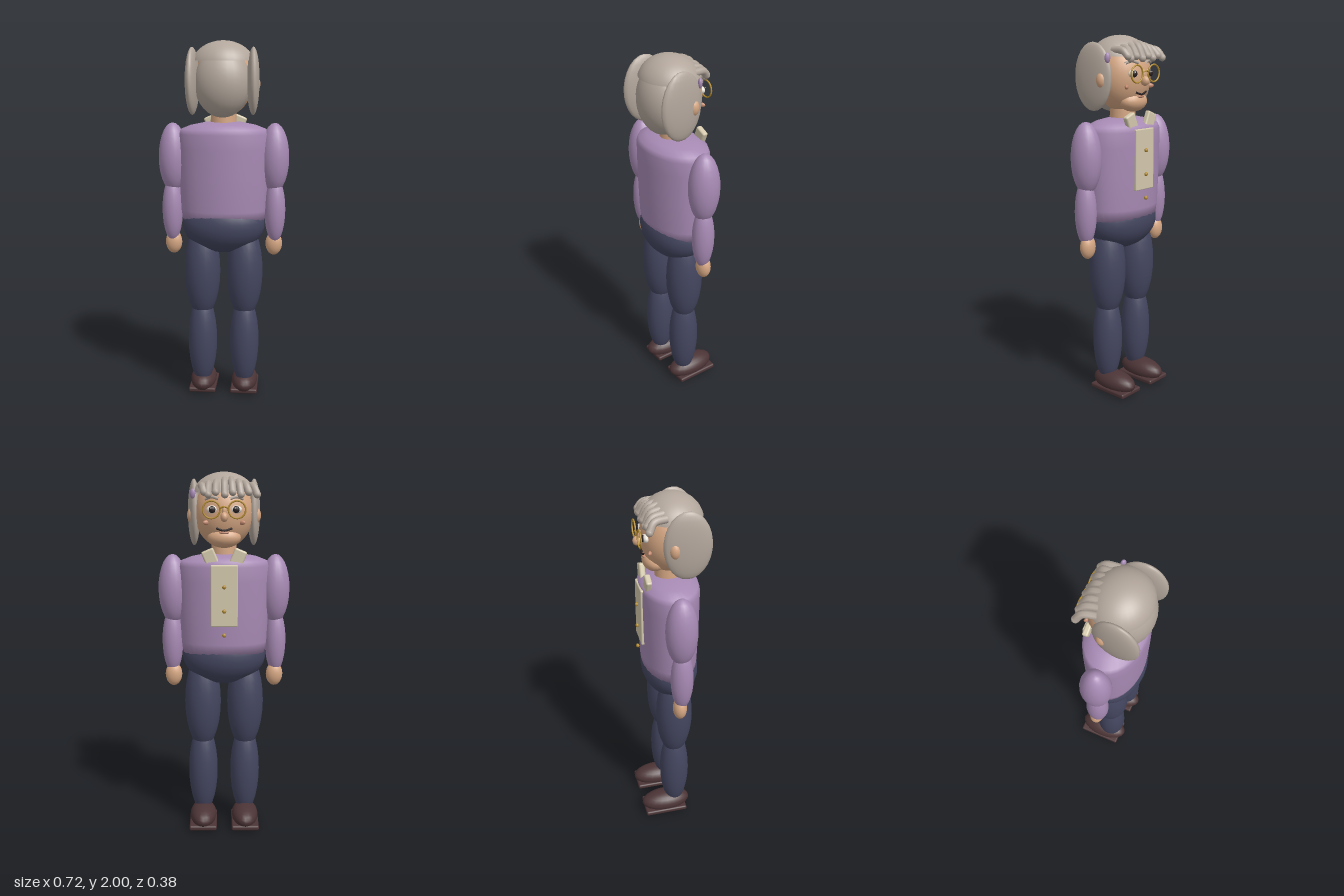
import * as THREE from 'three';
import { RoundedBoxGeometry } from 'three/addons/geometries/RoundedBoxGeometry.js';

const mat = (name, color, side = THREE.FrontSide) => {
  const m = new THREE.MeshStandardMaterial({ color, side });
  m.name = name;
  return m;
};

export function createModel() {
  const model = new THREE.Group();
  model.name = 'elderlyFigure';
  const hair = mat('greyHair', 0xb3a79c, THREE.DoubleSide);
  const knit = mat('mauveKnit', 0xa78ab4);
  const navy = mat('navyTrousers', 0x444660);
  const leather = mat('brownLeather', 0x4c3436);
  const skin = mat('skin', 0xd6a783);
  const cream = mat('creamCloth', 0xd3c8ac);
  const gold = mat('gold', 0xb48c30);
  const dark = mat('darkBrown', 0x2c2222);
  const white = mat('eyeWhite', 0xe8e2d8);
  const blush = mat('blush', 0xc48a70);

  const add = (name, geo, material, x = 0, y = 0, z = 0, parent = model) => {
    const m = new THREE.Mesh(geo, material);
    m.name = name;
    m.position.set(x, y, z);
    parent.add(m);
    return m;
  };
  const ball = (name, material, x, y, z, rx, ry, rz, seg = 20) =>
    add(name, new THREE.SphereGeometry(1, seg, Math.round(seg * 0.7)).scale(rx, ry, rz), material, x, y, z);
  const box = (name, material, x, y, z, w, h, d, r) =>
    add(name, new RoundedBoxGeometry(w, h, d, 2, r), material, x, y, z);
  const tube = (name, material, pts, r) => {
    const curve = new THREE.CatmullRomCurve3(pts.map((p) => new THREE.Vector3(...p)));
    return add(name, new THREE.TubeGeometry(curve, 12, r, 8), material);
  };

  // Limbs, mirrored
  for (const s of [-1, 1]) {
    const side = s > 0 ? 'left' : 'right';
    box(side + 'Sole', leather, s * 0.12, 0.026, -0.053, 0.155, 0.028, 0.25, 0.01);
    ball(side + 'Shoe', leather, s * 0.12, 0.062, -0.045, 0.075, 0.062, 0.145);
    ball(side + 'Shin', navy, s * 0.12, 0.32, 0.008, 0.083, 0.27, 0.084);
    ball(side + 'Thigh', navy, s * 0.12, 0.73, 0.006, 0.102, 0.28, 0.102);
    ball(side + 'UpperArm', knit, s * 0.282, 1.37, 0.003, 0.08, 0.192, 0.085);
    ball(side + 'Forearm', knit, s * 0.287, 1.08, 0.006, 0.058, 0.185, 0.061);
    ball(side + 'Hand', skin, s * 0.283, 0.89, -0.003, 0.047, 0.066, 0.038);
  }

  // Hips and sweater
  ball('hips', navy, 0, 1.0, 0.004, 0.232, 0.163, 0.155, 24);
  const profile = [[0, 1.02], [0.228, 1.02], [0.238, 1.08], [0.246, 1.25], [0.25, 1.42], [0.25, 1.5],
    [0.236, 1.528], [0.18, 1.55], [0.1, 1.566], [0, 1.57]].map((p) => new THREE.Vector2(...p));
  add('sweater', new THREE.LatheGeometry(profile, 32).scale(1, 1, 0.64), knit);

  // Shirt front, collar and buttons
  box('shirtFront', cream, 0, 1.35, -0.153, 0.145, 0.33, 0.02, 0.006);
  for (const s of [-1, 1]) {
    box('collarFlap', cream, s * 0.07, 1.54, -0.125, 0.07, 0.115, 0.032, 0.01).rotation.z = -s * 0.4;
  }
  for (const y of [1.4, 1.27, 1.14]) ball('button', gold, 0, y, -0.17, 0.011, 0.011, 0.009, 12);

  // Neck and head
  add('neck', new THREE.CylinderGeometry(0.068, 0.072, 0.12, 18), skin, 0, 1.6, 0);
  ball('head', skin, 0, 1.785, 0, 0.16, 0.19, 0.145, 28);
  ball('chin', skin, 0, 1.655, -0.075, 0.09, 0.055, 0.062);
  ball('nose', skin, 0, 1.765, -0.157, 0.02, 0.026, 0.026, 14);
  ball('noseBridge', skin, 0, 1.795, -0.146, 0.013, 0.03, 0.015, 12);

  // Face and glasses
  for (const s of [-1, 1]) {
    ball('ear', skin, s * 0.17, 1.77, -0.005, 0.03, 0.045, 0.03, 14);
    ball('eye', white, s * 0.063, 1.803, -0.129, 0.031, 0.021, 0.018, 16);
    ball('iris', dark, s * 0.063, 1.803, -0.141, 0.018, 0.018, 0.011, 14);
    ball('eyeGlint', white, s * 0.063 + 0.006, 1.811, -0.151, 0.004, 0.004, 0.003, 8);
    ball('cheek', blush, s * 0.092, 1.735, -0.111, 0.024, 0.013, 0.01, 14).rotation.y = s * 0.6;
    tube('eyebrow', hair, [[s * 0.03, 1.858, -0.136], [s * 0.065, 1.868, -0.124], [s * 0.1, 1.857, -0.108]], 0.008);
    add('spectacleRim', new THREE.TorusGeometry(0.045, 0.0045, 8, 24), gold, s * 0.067, 1.803, -0.161);
  }
  tube('spectacleBridge', gold, [[-0.024, 1.81, -0.161], [0, 1.818, -0.168], [0.024, 1.81, -0.161]], 0.0045);
  tube('mouth', dark, [[-0.042, 1.706, -0.129], [0, 1.694, -0.137], [0.042, 1.706, -0.129]], 0.0055);
  ball('lowerLip', blush, 0, 1.683, -0.129, 0.026, 0.008, 0.009, 12);

  // Hair: crown, back and side masses
  add('hairCrown', new THREE.SphereGeometry(1, 28, 12, 0, Math.PI * 2, 0, 1.35).scale(0.175, 0.14, 0.16),
    hair, 0, 1.86, 0.02);
  ball('hairBack', hair, 0, 1.775, 0.07, 0.152, 0.183, 0.12, 24);
  for (const s of [-1, 1]) {
    ball('hairSide', hair, s * 0.164, 1.785, 0.062, 0.034, 0.18, 0.124, 18).rotation.y = s * 0.06;
  }

  // Fringe of curved locks
  const roots = [-0.135, -0.1, -0.07, -0.035, 0, 0.04, 0.08, 0.122];
  const tips = [-0.172, -0.128, -0.088, -0.045, -0.003, 0.045, 0.085, 0.105];
  tips.forEach((t, i) => {
    const r = roots[i];
    const edge = Math.abs(i - 3.5) / 3.5;
    const tipY = 1.88 + 0.012 * (i % 2);
    const tipZ = -0.138 + 0.006 * edge;
    tube('fringeLock', hair, [[r, 1.965 - 0.04 * edge, -0.06 + 0.02 * edge],
      [(r + t) / 2, 1.945 - 0.025 * edge, -0.105], [t, tipY, tipZ]], 0.02);
    ball('fringeTip', hair, t, tipY, tipZ, 0.02, 0.02, 0.02, 10);
  });

  // Hair clip on one side
  ball('hairClip', knit, 0.168, 1.885, -0.046, 0.016, 0.027, 0.012, 12).rotation.y = -0.5;

  return model;
}
